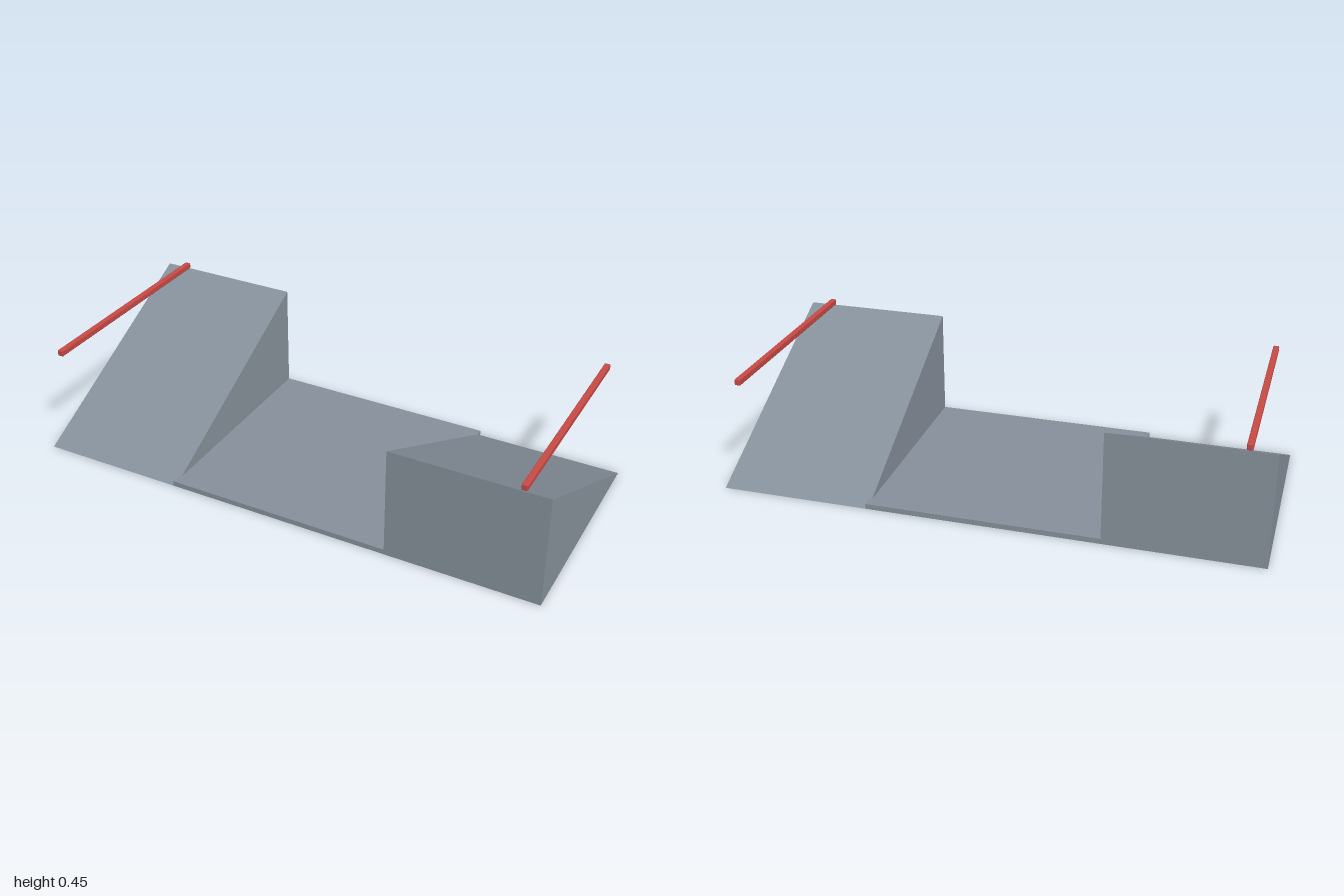
import * as THREE from 'three';
import { RoundedBoxGeometry } from 'three/addons/geometries/RoundedBoxGeometry.js';

export function createModel() {
  const model = new THREE.Group();
  model.name = 'rampPlatform';

  const steel = new THREE.MeshStandardMaterial({ color: 0x87919c });
  steel.name = 'steelGrey';
  const red = new THREE.MeshStandardMaterial({ color: 0xc94a45 });
  red.name = 'railRed';

  const halfDepth = 0.427, height = 0.428, inner = 0.429;

  const add = (geometry, material, name, x, y, z = 0) => {
    const mesh = new THREE.Mesh(geometry, material);
    mesh.name = name;
    mesh.position.set(x, y, z);
    model.add(mesh);
    return mesh;
  };

  // Flat deck joining the ramps, its edges tucked slightly into both
  add(new THREE.BoxGeometry(0.88, 0.02, halfDepth * 2), steel, 'deck', 0, 0.01);

  // Right-angled wedge, extruded sideways; its tall end faces +z
  const profile = new THREE.Shape([
    new THREE.Vector2(-halfDepth, 0),
    new THREE.Vector2(halfDepth, 0),
    new THREE.Vector2(-halfDepth, height),
  ]);
  const width = 1 - inner;
  const wedge = new THREE.ExtrudeGeometry(profile, { depth: width, bevelEnabled: false });
  wedge.translate(0, 0, -width / 2);
  wedge.rotateY(Math.PI / 2);

  // Slightly chamfered rail along the depth
  const rail = new RoundedBoxGeometry(0.022, 0.0225, halfDepth * 2, 1, 0.003);

  // The two sides are half-turn copies of each other
  for (const side of [1, -1]) {
    const label = side > 0 ? 'left' : 'right';
    const ramp = add(wedge, steel, label + 'Ramp', side * (inner + width / 2), 0);
    if (side < 0) ramp.rotation.y = Math.PI;
    add(rail, red, label + 'Rail', side * 0.906, 0.4415);
  }
  return model;
}
